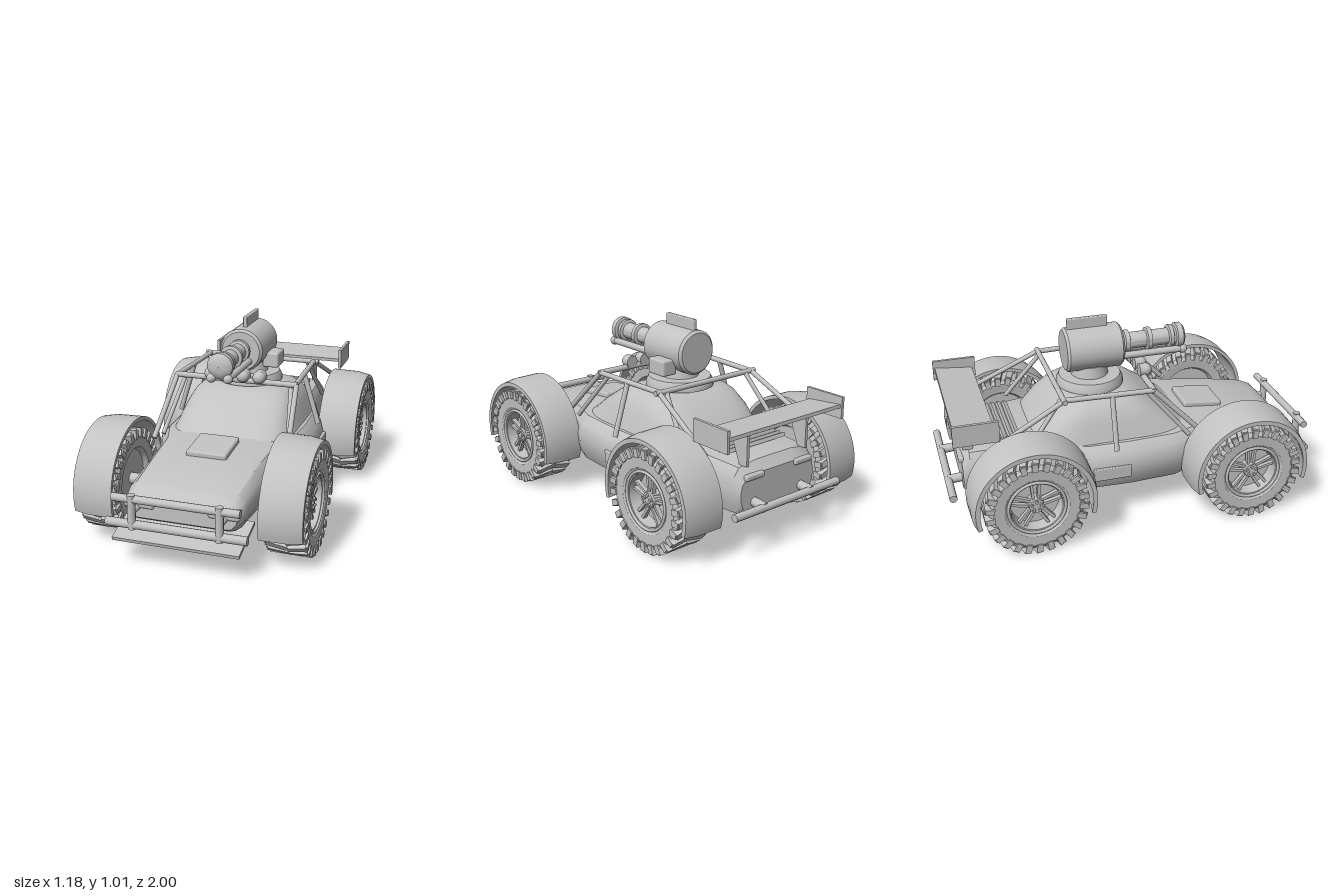
import * as THREE from 'three';
import { mergeGeometries, toCreasedNormals } from 'three/addons/utils/BufferGeometryUtils.js';
import { RoundedBoxGeometry } from 'three/addons/geometries/RoundedBoxGeometry.js';

const grey = new THREE.MeshStandardMaterial({ color: 0xc2c2c2, side: THREE.DoubleSide });
grey.name = 'grey';

const V = (x, y, z) => new THREE.Vector3(x, y, z);

function add(parent, name, geo, x = 0, y = 0, z = 0) {
  const mesh = new THREE.Mesh(geo, grey);
  mesh.name = name;
  mesh.position.set(x, y, z);
  parent.add(mesh);
  return mesh;
}
const box = (w, h, d) => new THREE.BoxGeometry(w, h, d);
const soft = (w, h, d, r) => new RoundedBoxGeometry(w, h, d, 2, r);

// Straight round bar between two points
function bar(parent, name, a, b, r) {
  const mesh = add(parent, name, new THREE.CylinderGeometry(r, r, a.distanceTo(b), 12));
  mesh.position.copy(a).lerp(b, 0.5);
  mesh.quaternion.setFromUnitVectors(V(0, 1, 0), b.clone().sub(a).normalize());
  return mesh;
}

// Turned shape from [radius, height] pairs
function turned(profile, seg = 40, start = 0, sweep = Math.PI * 2) {
  const pts = profile.map(([r, h]) => new THREE.Vector2(r, h));
  return toCreasedNormals(new THREE.LatheGeometry(pts, seg, start, sweep), 0.55);
}

// Closed skin over matching rings, capped at both ends
function loft(rings, crease) {
  const n = rings[0].length, pos = [];
  const tri = (...p) => p.forEach((v) => pos.push(v.x, v.y, v.z));
  for (let i = 0; i + 1 < rings.length; i++) for (let j = 0; j < n; j++) {
    const k = (j + 1) % n, a = rings[i], b = rings[i + 1];
    tri(a[j], a[k], b[j]);
    tri(a[k], b[k], b[j]);
  }
  const first = rings[0], last = rings[rings.length - 1];
  for (let j = 1; j + 1 < n; j++) {
    tri(first[0], first[j + 1], first[j]);
    tri(last[0], last[j], last[j + 1]);
  }
  const geo = new THREE.BufferGeometry();
  geo.setAttribute('position', new THREE.Float32BufferAttribute(pos, 3));
  return toCreasedNormals(geo, crease);
}

// Wheel around the x axis, outer face toward +x
function makeWheel() {
  const wheel = new THREE.Group();
  wheel.name = 'wheel';
  const tyre = turned([[0.001, -0.07], [0.15, -0.07], [0.165, -0.095], [0.22, -0.1], [0.242, -0.085], [0.249, 0],
    [0.242, 0.085], [0.22, 0.1], [0.165, 0.098], [0.152, 0.088], [0.132, 0.085], [0.125, 0.02], [0.001, 0.02]], 48);
  add(wheel, 'tyre', tyre.rotateZ(-Math.PI / 2));
  // Chevron tread blocks wrapping onto the sidewalls
  const lugs = [];
  for (let i = 0; i < 26; i++) for (const s of [-1, 1]) {
    const turn = (i + (s > 0 ? 0.2 : 0)) * Math.PI * 2 / 26;
    const block = box(0.106, 0.03, 0.034).rotateY(s * 0.3).translate(s * 0.05, 0.25, 0);
    const shoulder = box(0.018, 0.045, 0.03).translate(s * 0.098, 0.236, -0.015);
    for (const g of [block, shoulder]) lugs.push(g.rotateX(turn));
  }
  add(wheel, 'tread', mergeGeometries(lugs));
  add(wheel, 'rimLip', new THREE.TorusGeometry(0.145, 0.008, 8, 40).rotateY(Math.PI / 2), 0.09);
  // Five paired spokes, hub and bolts
  const spokes = [], bolts = [];
  for (let i = 0; i < 5; i++) {
    const turn = i * Math.PI * 2 / 5;
    for (const s of [-1, 1])
      spokes.push(box(0.022, 0.115, 0.014).rotateX(s * 0.08).translate(0.052, 0.083, s * 0.017).rotateX(turn));
    bolts.push(new THREE.CylinderGeometry(0.008, 0.008, 0.02, 8).rotateZ(Math.PI / 2).translate(0.075, 0.024, 0).rotateX(turn));
  }
  add(wheel, 'spokes', mergeGeometries(spokes));
  add(wheel, 'bolts', mergeGeometries(bolts));
  add(wheel, 'hub', new THREE.CylinderGeometry(0.038, 0.044, 0.06, 24).rotateZ(-Math.PI / 2), 0.045);
  // Tapered mudguard arching over the tyre
  const guard = turned([[0.305, -0.11], [0.325, -0.11], [0.322, 0.03], [0.308, 0.102], [0.285, 0.102], [0.3, 0.03], [0.305, -0.11]],
    36, Math.PI * 165 / 180, Math.PI * 210 / 180);
  add(wheel, 'fender', guard.rotateZ(-Math.PI / 2));
  return wheel;
}

function makeBody(car) {
  // Hull: z, half width, bottom, top
  const half = [[0.8, 0], [0.9, 0.06], [0.98, 0.3], [1, 0.55], [0.96, 0.78], [0.85, 0.94], [0.45, 1]];
  const hull = [[-0.91, 0.25, 0.21, 0.4], [-0.87, 0.27, 0.19, 0.45], [-0.55, 0.3, 0.175, 0.465], [-0.38, 0.36, 0.175, 0.455],
    [-0.27, 0.405, 0.175, 0.45], [-0.05, 0.415, 0.175, 0.45], [0.2, 0.4, 0.175, 0.45], [0.36, 0.335, 0.18, 0.45],
    [0.6, 0.315, 0.19, 0.425], [0.82, 0.305, 0.2, 0.385], [0.88, 0.295, 0.21, 0.36], [0.9, 0.28, 0.225, 0.335]];
  add(car, 'hull', loft(hull.map(([z, w, lo, hi]) => {
    const right = half.map(([fx, fy]) => V(fx * w, lo + fy * (hi - lo), z));
    return right.concat(right.map((p) => V(-p.x, p.y, p.z)).reverse());
  }), 0.6));
  // Cabin: y, half width, front z, back z
  const cabin = [[0.42, 0.34, 0.34, -0.56], [0.46, 0.325, 0.28, -0.53], [0.53, 0.305, 0.19, -0.47],
    [0.595, 0.275, 0.09, -0.39], [0.622, 0.245, 0.04, -0.34], [0.637, 0.19, -0.02, -0.29], [0.642, 0.08, -0.1, -0.22]];
  const round = (v) => Math.sign(v) * Math.abs(v) ** 0.5;
  add(car, 'cabin', loft(cabin.map(([y, w, f, b]) => Array.from({ length: 40 }, (_, i) => {
    const t = i * Math.PI / 20;
    return V(w * round(Math.sin(t)), y, (f + b) / 2 + (f - b) / 2 * round(Math.cos(t)));
  })), 0.5));
  add(car, 'hoodScoop', soft(0.215, 0.04, 0.22, 0.012), 0, 0.447, 0.45).rotation.x = 0.1;
  for (let i = 0; i < 5; i++)
    add(car, 'engineLouver', box(0.4, 0.02, 0.022), 0, 0.468, -0.61 - i * 0.034).rotation.x = 0.4;
  for (const s of [-1, 1]) {
    add(car, 'sideVent', soft(0.02, 0.07, 0.2, 0.005), s * 0.412, 0.295, -0.16);
    add(car, 'headlight', soft(0.16, 0.055, 0.05, 0.015), s * 0.215, 0.303, 0.885);
    add(car, 'tailLight', soft(0.12, 0.03, 0.03, 0.01), s * 0.165, 0.39, -0.91);
  }
}

function makeCage(car) {
  bar(car, 'cageFrontBar', V(-0.34, 0.7, 0.085), V(0.34, 0.7, 0.085), 0.016);
  bar(car, 'cageRearBar', V(-0.34, 0.7, -0.385), V(0.34, 0.7, -0.385), 0.014);
  for (const s of [-1, 1]) {
    const at = (x, y, z) => V(s * x, y, z);
    bar(car, 'cageRoofRail', at(0.33, 0.7, 0.085), at(0.31, 0.7, -0.385), 0.014);
    bar(car, 'cageFrontLeg', at(0.335, 0.7, 0.085), at(0.365, 0.42, 0.36), 0.014);
    bar(car, 'cageFrontBrace', at(0.3, 0.68, 0.06), at(0.345, 0.42, 0.28), 0.012);
    bar(car, 'cagePillar', at(0.32, 0.7, -0.135), at(0.405, 0.42, -0.135), 0.014);
    bar(car, 'cageRearLeg', at(0.315, 0.7, -0.385), at(0.36, 0.5, -0.78), 0.013);
    bar(car, 'cageRearBrace', at(0.27, 0.7, -0.385), at(0.32, 0.45, -0.58), 0.012);
  }
}

function makeTurret(car) {
  const turret = new THREE.Group();
  turret.name = 'turret';
  car.add(turret);
  add(turret, 'turntable', turned([[0.001, 0.64], [0.18, 0.64], [0.18, 0.66], [0.165, 0.69], [0.1, 0.69], [0.09, 0.75], [0.001, 0.75]]), 0, 0, -0.17);
  const drum = turned([[0.001, -0.31], [0.105, -0.31], [0.118, -0.297], [0.118, -0.013], [0.105, 0], [0.001, 0]]);
  add(turret, 'gunHousing', drum.rotateX(Math.PI / 2), 0, 0.834, 0);
  add(turret, 'topFin', soft(0.022, 0.07, 0.22, 0.006), 0, 0.973, -0.18);
  add(turret, 'ammoBox', soft(0.09, 0.085, 0.125, 0.012), 0.13, 0.762, -0.183);
  // Barrel with raised collars and a domed muzzle
  const barrel = turned([[0.04, -0.02], [0.045, 0.015], [0.06, 0.02], [0.06, 0.045], [0.045, 0.05], [0.045, 0.14], [0.062, 0.145],
    [0.062, 0.168], [0.045, 0.173], [0.045, 0.265], [0.062, 0.27], [0.062, 0.29], [0.052, 0.295], [0.052, 0.305],
    [0.068, 0.31], [0.068, 0.34], [0.055, 0.352], [0.03, 0.36], [0.001, 0.363]]);
  add(turret, 'barrel', barrel.rotateX(Math.PI / 2), 0, 0.843, 0);
  for (const s of [-1, 1]) {
    bar(turret, 'lowerBarrel', V(s * 0.045, 0.78, -0.02), V(s * 0.045, 0.78, 0.34), 0.019);
    add(turret, 'lowerMuzzle', new THREE.SphereGeometry(0.025, 16, 12), s * 0.045, 0.78, 0.342);
    for (const x of [0.045, 0.135]) {
      bar(turret, 'spotlightCan', V(s * x, 0.728, 0.065), V(s * x, 0.728, 0.1), 0.035);
      add(turret, 'spotlightLens', new THREE.SphereGeometry(0.035, 20, 14), s * x, 0.728, 0.1);
    }
  }
}

function makeBumpersAndWing(car) {
  bar(car, 'frontBumperTop', V(-0.32, 0.352, 0.972), V(0.32, 0.352, 0.972), 0.02);
  bar(car, 'frontBumperBottom', V(-0.355, 0.222, 0.972), V(0.355, 0.222, 0.972), 0.022);
  add(car, 'skidPlate', box(0.64, 0.018, 0.25), 0, 0.175, 0.872).rotation.x = 0.27;
  bar(car, 'rearBumper', V(-0.355, 0.25, -0.98), V(0.355, 0.25, -0.98), 0.02);
  // Wing with end plates and struts
  add(car, 'wing', box(0.77, 0.018, 0.205), 0, 0.622, -0.852).rotation.x = 0.1;
  const strut = new THREE.Shape([[0.78, 0.61], [0.9, 0.61], [0.9, 0.44], [0.85, 0.44]].map(([a, b]) => new THREE.Vector2(a, b)));
  for (const s of [-1, 1]) {
    bar(car, 'frontBumperPost', V(s * 0.22, 0.2, 0.975), V(s * 0.22, 0.375, 0.975), 0.02);
    bar(car, 'frontBumperMount', V(s * 0.22, 0.28, 0.86), V(s * 0.22, 0.28, 0.97), 0.014);
    bar(car, 'rearBumperMount', V(s * 0.16, 0.26, -0.86), V(s * 0.16, 0.25, -0.985), 0.024);
    add(car, 'wingEndPlate', box(0.016, 0.113, 0.232), s * 0.387, 0.624, -0.847);
    const geo = new THREE.ExtrudeGeometry(strut, { depth: 0.016, bevelEnabled: false });
    add(car, 'wingStrut', geo.rotateY(Math.PI / 2), s * 0.2 - 0.008, 0, 0);
  }
}

export function createModel() {
  const car = new THREE.Group();
  car.name = 'buggy';
  makeBody(car);
  makeCage(car);
  makeTurret(car);
  makeBumpersAndWing(car);
  for (const z of [0.558, -0.595]) {
    bar(car, 'axle', V(-0.42, 0.266, z), V(0.42, 0.266, z), 0.03);
    for (const s of [-1, 1]) {
      const wheel = makeWheel();
      wheel.position.set(s * 0.482, 0.266, z);
      wheel.scale.x = s;
      car.add(wheel);
    }
  }
  return car;
}
